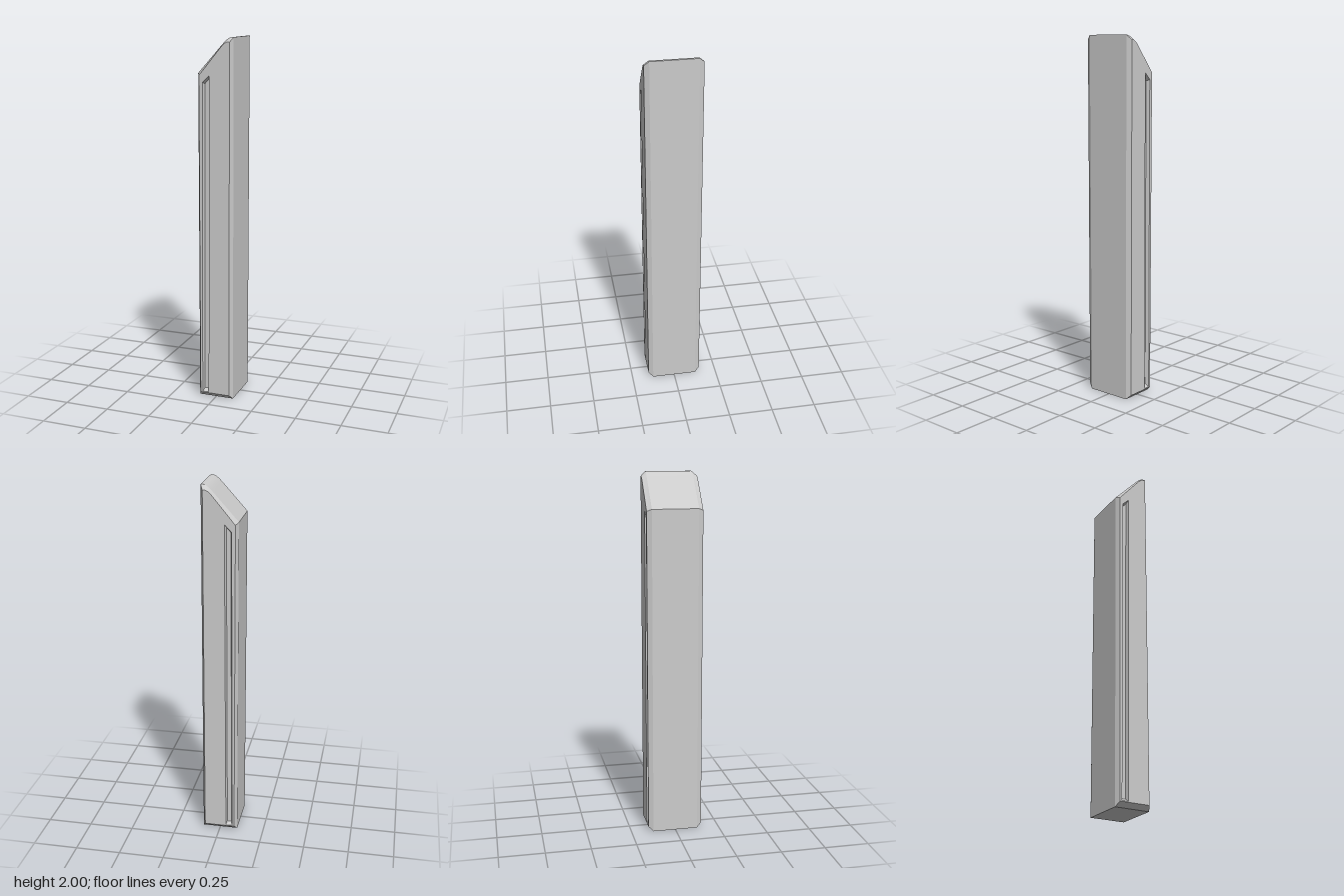
import * as THREE from 'three';
import { toCreasedNormals } from 'three/addons/utils/BufferGeometryUtils.js';

const material = new THREE.MeshStandardMaterial({ color: 0xcccccc });
const HALF = 0.127, FACE = 0.153, FLOOR = 0.133;

// Band of quads between two closed loops of [x, y], each at its own depth.
function band(loopA, zA, loopB, zB, flip) {
  const pos = [], n = loopA.length;
  for (let i = 0; i < n; i++) {
    const j = (i + 1) % n;
    const a = [...loopA[i], zA], b = [...loopA[j], zA];
    const c = [...loopB[j], zB], d = [...loopB[i], zB];
    const quad = flip ? [a, c, b, a, d, c] : [a, b, c, a, c, d];
    quad.forEach(p => pos.push(...p));
  }
  const g = new THREE.BufferGeometry();
  g.setAttribute('position', new THREE.Float32BufferAttribute(pos, 3));
  return toCreasedNormals(g, 0.45);
}

// Flat cap with an optional hole, facing +z (side 1) or -z (side -1).
function cap(loop, z, side, hole) {
  const vec = l => l.map(p => new THREE.Vector2(p[0] * side, p[1]));
  const shape = new THREE.Shape(vec(loop));
  if (hole) shape.holes.push(new THREE.Path(vec(hole)));
  const g = new THREE.ShapeGeometry(shape);
  if (side < 0) g.rotateY(Math.PI);
  return g.translate(0, 0, z * side);
}

export function createModel() {
  const group = new THREE.Group();
  const add = (name, geometry) => {
    const mesh = new THREE.Mesh(geometry, material);
    mesh.name = name;
    group.add(mesh);
  };

  // Outline with a sloping top, rounded into a short flat at the peak
  const peak = new THREE.QuadraticBezierCurve(
    new THREE.Vector2(0.09, 2), new THREE.Vector2(0.07, 2), new THREE.Vector2(0.04, 1.967));
  const outline = [[-0.099, 0], [0.099, 0], [0.099, 2],
    ...peak.getPoints(5).map(p => [p.x, p.y]), [-0.099, 1.813]];
  const inset = outline.map(([x, y]) => [x * 0.86, y === 0 ? 0.025 : y - 0.018 - 0.07 * x]);

  // Long tapered groove: rim and smaller floor
  const grooveRim = [[-0.073, 0.03], [-0.037, 0.03], [-0.028, 1.803], [-0.066, 1.765]];
  const grooveFloor = [[-0.066, 0.045], [-0.042, 0.045], [-0.035, 1.785], [-0.059, 1.758]];

  add('bodySides', band(outline, HALF, outline, -HALF, true));
  for (const side of [1, -1]) {
    const where = side > 0 ? 'front' : 'back', flip = side < 0;
    add(where + 'Chamfer', band(outline, HALF * side, inset, FACE * side, flip));
    add(where + 'Face', cap(inset, FACE, side, grooveRim));
    add(where + 'GrooveWalls', band(grooveRim, FACE * side, grooveFloor, FLOOR * side, flip));
    add(where + 'GrooveFloor', cap(grooveFloor, FLOOR, side));
  }
  return group;
}
